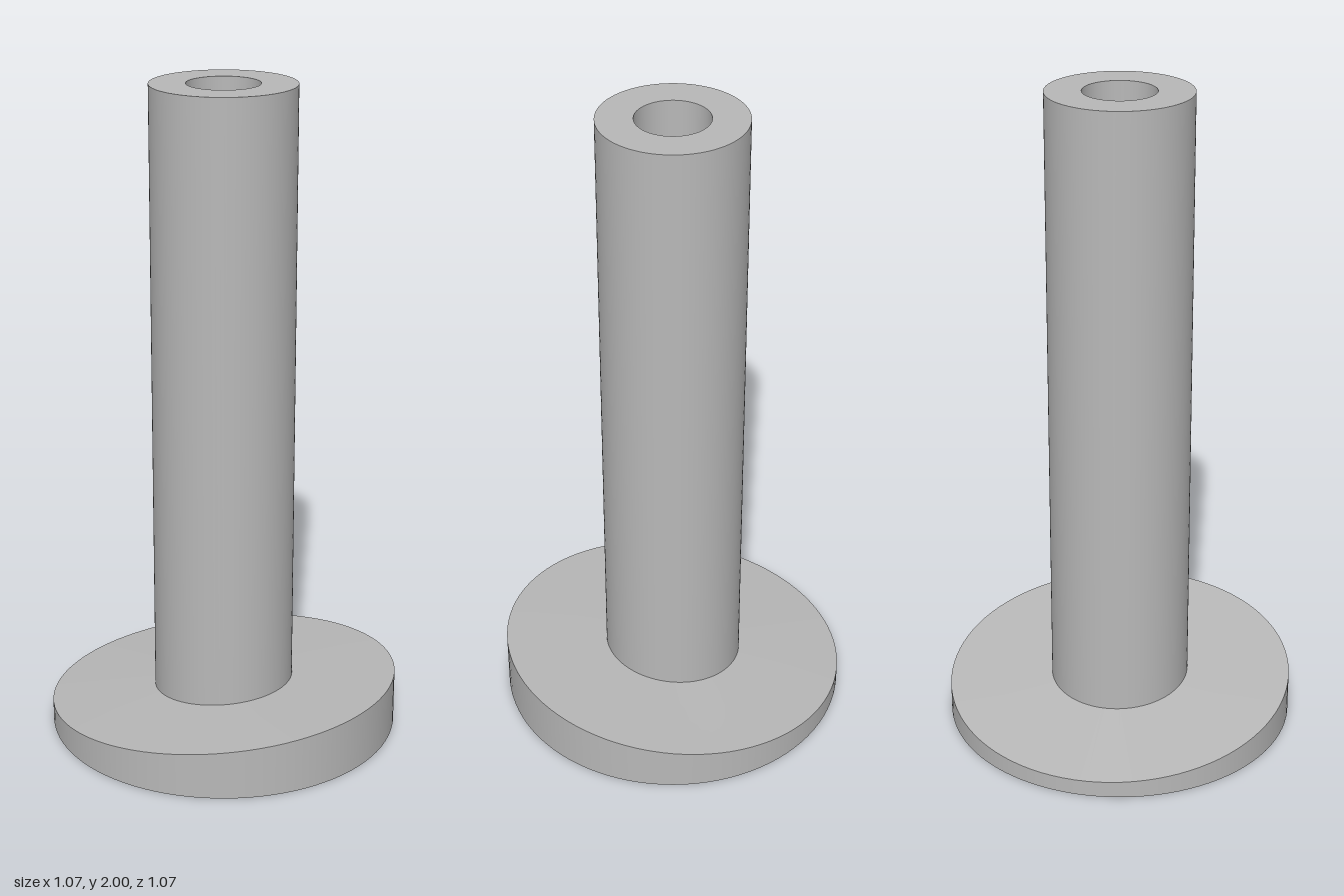
import * as THREE from 'three';

const BORE = 0.108, TUBE = 0.215, FLANGE = 0.537, HEIGHT = 2, SIDES = 96;

// Heights along z where the sloping flange meets its rim and the tube
const flat = (y) => () => y;
const rimTop = (z) => 0.1125 + 0.117 * z;
const tubeFoot = (z) => 0.122 + 0.1 * z;

// A ring surface between two circles, each with its own height rule
function ring(name, material, r0, height0, r1, height1) {
  const geometry = new THREE.LatheGeometry(
    [new THREE.Vector2(r0, 0), new THREE.Vector2(r1, r0 === r1 ? Math.sign(height1(0) - height0(0)) : 0)],
    SIDES
  );
  const pos = geometry.attributes.position;
  for (let i = 0; i < pos.count; i++) {
    const height = i % 2 === 0 ? height0 : height1;
    pos.setY(i, height(pos.getZ(i)));
  }
  // Walls keep their radial normals; flat and sloping faces get new ones
  if (r0 !== r1) geometry.computeVertexNormals();
  const mesh = new THREE.Mesh(geometry, material);
  mesh.name = name;
  return mesh;
}

export function createModel() {
  const model = new THREE.Group();
  model.name = 'flangedTube';
  const grey = new THREE.MeshStandardMaterial({ color: 0xb8b8b8 });
  grey.name = 'plain grey';

  // Wedge-shaped flange
  const flange = new THREE.Group();
  flange.name = 'flange';
  flange.add(
    ring('flangeUnderside', grey, BORE, flat(0), FLANGE, flat(0)),
    ring('flangeRim', grey, FLANGE, flat(0), FLANGE, rimTop),
    ring('flangeSlope', grey, FLANGE, rimTop, TUBE, tubeFoot)
  );

  // Hollow tube, bored right through the flange
  const tube = new THREE.Group();
  tube.name = 'tube';
  tube.add(
    ring('tubeWall', grey, TUBE, tubeFoot, TUBE, flat(HEIGHT)),
    ring('tubeEnd', grey, TUBE, flat(HEIGHT), BORE, flat(HEIGHT)),
    ring('bore', grey, BORE, flat(HEIGHT), BORE, flat(0))
  );

  model.add(flange, tube);
  return model;
}
